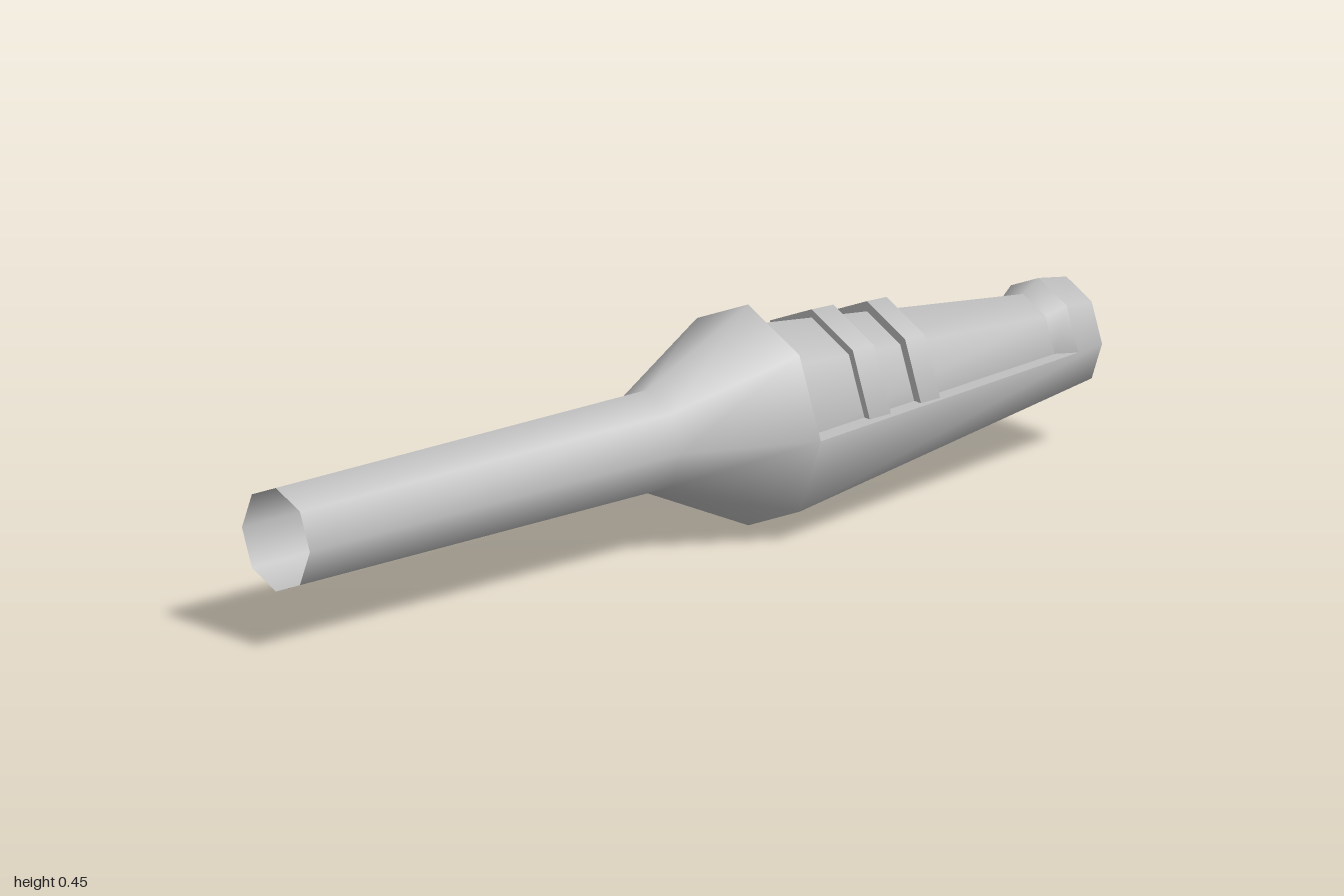
import * as THREE from 'three';
import { mergeGeometries } from 'three/addons/utils/BufferGeometryUtils.js';

const AXIS_Y = 0.225;   // height of the long axis
const Z_SCALE = 0.963;  // the octagon is slightly narrower than tall

// Octagonal shell round the x axis; profile points are [x, radius]
function shell(profile, half) {
  const points = profile.map(([x, r]) => new THREE.Vector2(r, x));
  const start = half === 'upper' ? Math.PI : 0;
  const geometry = half
    ? new THREE.LatheGeometry(points, 4, start, Math.PI)
    : new THREE.LatheGeometry(points, 8);
  return geometry.rotateZ(-Math.PI / 2).scale(1, 1, Z_SCALE);
}

// Same, with a sharp edge at every profile point
function creasedShell(profile, half) {
  const bands = [];
  for (let i = 0; i < profile.length - 1; i++) bands.push(shell([profile[i], profile[i + 1]], half));
  return mergeGeometries(bands);
}

export function createModel() {
  const model = new THREE.Group();
  model.name = 'taperedNozzle';
  const grey = new THREE.MeshStandardMaterial({ color: 0xc0c0c0, side: THREE.DoubleSide });
  grey.name = 'grey';

  const add = (name, geometry) => {
    const mesh = new THREE.Mesh(geometry, grey);
    mesh.name = name;
    mesh.position.y = AXIS_Y;
    model.add(mesh);
  };

  // Open tube widening into the flare
  add('tubeAndFlare', shell([[-1, 0.105], [-0.06, 0.105], [0.195, 0.224]]));

  // Full-width lower half and the recessed upper half with its front collar
  add('lowerBody', shell([[0.195, 0.224], [1, 0.11]], 'lower'));
  add('upperBody', creasedShell(
    [[0.195, 0.224], [0.22, 0.18], [0.89, 0.098], [0.93, 0.122], [1, 0.11]], 'upper'));

  // Two raised ridges across the upper half
  for (const [x0, x1, r] of [[0.355, 0.41, 0.18], [0.495, 0.545, 0.167]]) {
    add('ridge', creasedShell([[x0, r - 0.03], [x0, r], [x1, r - 0.002], [x1, r - 0.03]], 'upper'));
  }

  // Flat ledge where the lower half stands proud of the upper half
  const ledge = new THREE.Shape();
  const back = 0.224 * Z_SCALE, front = 0.122 * Z_SCALE;
  ledge.moveTo(0.195, -back);
  ledge.lineTo(0.93, -front);
  ledge.lineTo(0.93, front);
  ledge.lineTo(0.195, back);
  // Split at the middle so that the bore stays clear
  const sides = [1, -1].map((s) => {
    const strip = new THREE.Shape([
      new THREE.Vector2(0.195, s * back), new THREE.Vector2(0.93, s * front),
      new THREE.Vector2(0.93, s * 0.09), new THREE.Vector2(0.195, s * 0.16),
    ]);
    return new THREE.ShapeGeometry(strip).rotateX(-Math.PI / 2);
  });
  add('ledges', mergeGeometries(sides));

  // Rim and closed bore at the nose
  add('noseRim', shell([[1, 0.11], [1, 0.08]]));
  add('bore', shell([[1, 0.08], [0.75, 0.06], [0.55, 0]]));

  return model;
}
